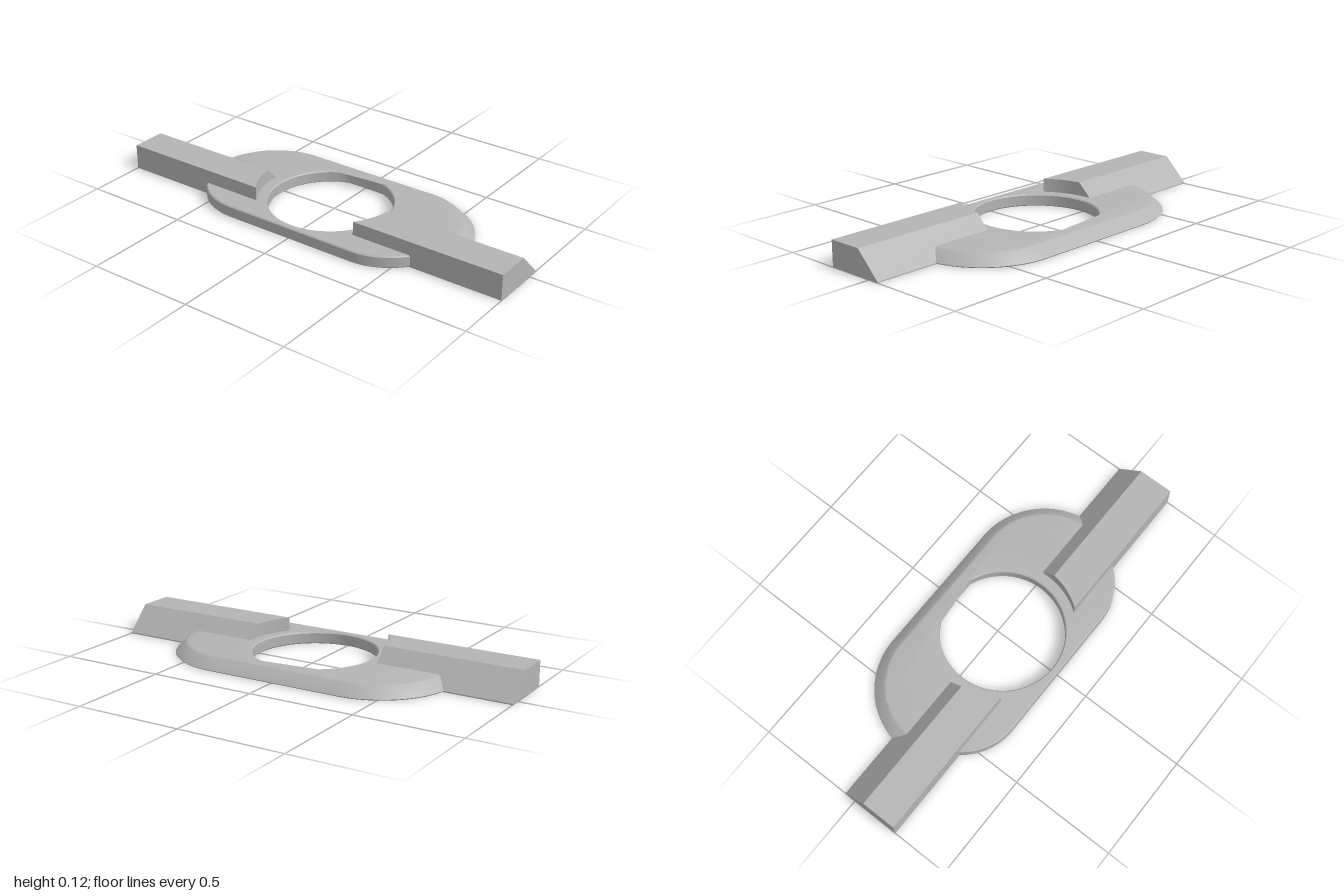
import * as THREE from 'three';
import { toCreasedNormals } from 'three/addons/utils/BufferGeometryUtils.js';

const HALF = 0.33;                          // half length of the straight edges
const FRONT = { z: 0.0555, r: 0.2875 };     // front corner arcs
const BACK = { z: 0.019, r: 0.362 };        // back corner arcs
const HOLE = { z: 0.027, r: 0.284 };
const PLATE_H = 0.056, BAR_H = 0.12, BEVEL = 0.005;

// Plan shapes use (x, -z); standing them up gives y as height
const stand = (geometry) => geometry.rotateX(-Math.PI / 2);

function plateGeometry() {
  const outline = new THREE.Shape();
  outline.absarc(HALF, -FRONT.z, FRONT.r, -Math.PI / 2, 0);
  outline.absarc(HALF, -BACK.z, BACK.r, 0, Math.PI / 2);
  outline.absarc(-HALF, -BACK.z, BACK.r, Math.PI / 2, Math.PI);
  outline.absarc(-HALF, -FRONT.z, FRONT.r, Math.PI, Math.PI * 1.5);
  outline.closePath();

  // Round opening with a flat at the back
  const a = Math.acos(0.267 / HOLE.r);
  const hole = new THREE.Path();
  hole.absarc(0, -HOLE.z, HOLE.r, Math.PI / 2 + a, Math.PI * 2.5 - a);
  hole.closePath();
  outline.holes.push(hole);

  const geometry = stand(new THREE.ExtrudeGeometry(outline, {
    depth: PLATE_H - 2 * BEVEL, curveSegments: 40, bevelSegments: 1,
    bevelThickness: BEVEL, bevelSize: BEVEL, bevelOffset: -BEVEL,
  }));
  geometry.translate(0, BEVEL, 0);

  // Lean the back rim inward at 45 degrees
  const p = geometry.attributes.position;
  for (let i = 0; i < p.count; i++) {
    const x = p.getX(i), y = p.getY(i), z = p.getZ(i);
    const cx = THREE.MathUtils.clamp(x, -HALF, HALF);
    const d = Math.hypot(x - cx, z - BACK.z);
    if (z > 0.03 || d < BACK.r * 0.9 || y <= BEVEL + 1e-4) continue;
    const k = (d - (y - BEVEL)) / d;
    p.setX(i, cx + (x - cx) * k);
    p.setZ(i, BACK.z + (z - BACK.z) * k);
  }
  return toCreasedNormals(geometry, 0.5);
}

// One strip of a bar between two depths, its inner end following a round clearance
function barGeometry(side, z0, z1, sloped) {
  const shape = new THREE.Shape();
  shape.moveTo(side, -z0);
  shape.lineTo(side, -z1);
  for (let i = 0; i <= 16; i++) {
    const z = z1 + (z0 - z1) * i / 16;
    shape.lineTo(side * Math.sqrt(0.335 ** 2 - (z - 0.025) ** 2), -z);
  }
  shape.closePath();
  const geometry = stand(new THREE.ExtrudeGeometry(shape, { depth: BAR_H, bevelEnabled: false }));
  if (sloped) {
    const p = geometry.attributes.position;
    for (let i = 0; i < p.count; i++) {
      const t = (p.getZ(i) - z0) / (z1 - z0);
      if (p.getY(i) > 0.01) p.setY(i, BEVEL + (BAR_H - BEVEL) * t);
    }
  }
  return toCreasedNormals(geometry, 0.5);
}

export function createModel() {
  const model = new THREE.Group();
  model.name = 'mountingBracket';
  const grey = new THREE.MeshStandardMaterial({ color: 0xb4b4b4 });
  grey.name = 'grey';

  const add = (parent, name, geometry) => {
    const mesh = new THREE.Mesh(geometry, grey);
    mesh.name = name;
    parent.add(mesh);
  };

  add(model, 'basePlate', plateGeometry());

  // Raised bars to both sides, square in front and sloped behind
  for (const side of [1, -1]) {
    const bar = new THREE.Group();
    bar.name = side > 0 ? 'leftBar' : 'rightBar';
    add(bar, 'barBlock', barGeometry(side, 0.062, 0.228, false));
    add(bar, 'barSlope', barGeometry(side, -0.053, 0.062, true));
    model.add(bar);
  }
  return model;
}
